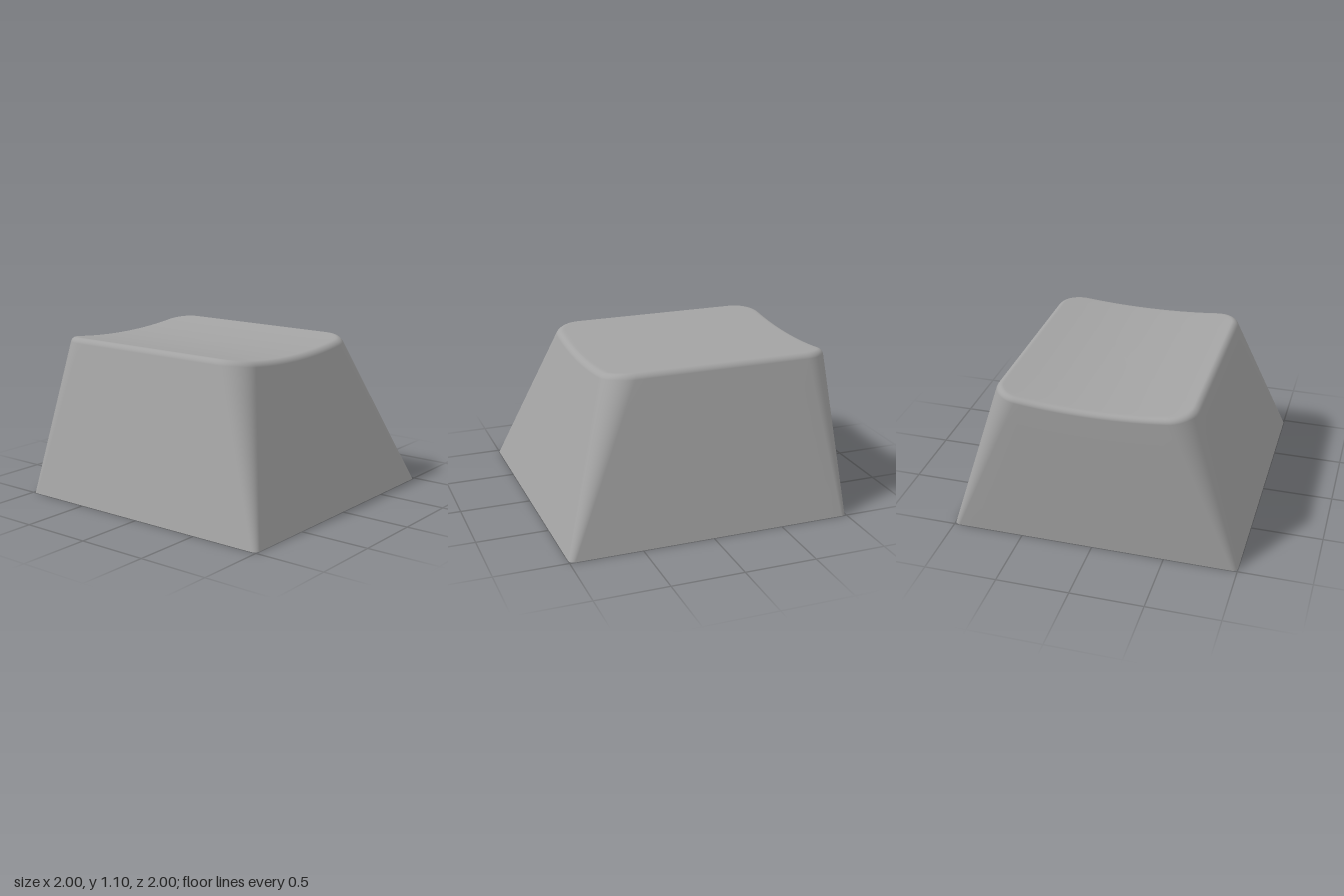
import * as THREE from 'three';
import { toCreasedNormals } from 'three/addons/utils/BufferGeometryUtils.js';

const HEIGHT = 1.1, FILLET = 0.036, CEILING = 0.9;
const SIDE_SLOPE = 0.3, FRONT_SLOPE = 0.358;
const STEM_BOTTOM = 0.11, STEM_RADIUS = 0.332, SLOT_DEPTH = 0.1;

// Height of the scooped top at a given x
const dish = (x) => 1.05 + 0.05 * (Math.min(Math.abs(x), 0.64) / 0.64) ** 2;

// Rounded rectangle [x, z] around the cap at height h, drawn in by inset
function outline(h, inset = 0) {
  const X = 1 - SIDE_SLOPE * h - inset;
  const front = 1 - FRONT_SLOPE * h - inset, back = -1 + inset;
  const r = Math.max(0.04 + 0.15 * h / HEIGHT - inset, 0.01);
  const centres = [[X - r, front - r], [r - X, front - r], [r - X, back + r], [X - r, back + r]];
  const arc = (q, i) => {
    const a = (q + i / 10) * Math.PI / 2;
    return [centres[q][0] + r * Math.cos(a), centres[q][1] + r * Math.sin(a)];
  };
  const points = [];
  for (let q = 0; q < 4; q++) {
    for (let i = 0; i <= 10; i++) points.push(arc(q, i));
    const a = arc(q, 10), b = arc((q + 1) % 4, 0);
    for (let i = 1; i < 14; i++) {
      const t = i / 14;
      points.push([a[0] + (b[0] - a[0]) * t, a[1] + (b[1] - a[1]) * t]);
    }
  }
  return points;
}

// Ring of 3D points whose height follows the scoop of the top
function ring(h, inset) {
  return outline(h, inset).map(([x], i) => {
    const y = h * dish(x) / HEIGHT;
    const [px, pz] = outline(y, inset)[i];
    return [px, y, pz];
  });
}

// Skin a list of closed rings
function loft(rings) {
  const n = rings[0].length, index = [];
  for (let j = 0; j < rings.length - 1; j++) {
    for (let i = 0; i < n; i++) {
      const a = j * n + i, b = j * n + (i + 1) % n;
      index.push(a, a + n, b, b, a + n, b + n);
    }
  }
  const geometry = new THREE.BufferGeometry();
  geometry.setAttribute('position', new THREE.Float32BufferAttribute(rings.flat(2), 3));
  geometry.setIndex(index);
  geometry.computeVertexNormals();
  return geometry;
}

// Tapered walls, rounded upper edge and scooped top
function shellGeometry() {
  const rings = [];
  for (let j = 0; j <= 6; j++) rings.push(ring((HEIGHT - FILLET) * j / 6, 0));
  for (let j = 1; j <= 6; j++) {
    const a = j / 6 * Math.PI / 2;
    rings.push(ring(HEIGHT - FILLET + FILLET * Math.sin(a), FILLET * (1 - Math.cos(a))));
  }
  const rim = rings[rings.length - 1], midZ = -0.19;
  for (const s of [0.98, 0.9, 0.75, 0.6, 0.45, 0.3, 0.15, 0.001]) {
    rings.push(rim.map(([x, , z]) => [x * s, dish(x * s), midZ + (z - midZ) * s]));
  }
  return loft(rings);
}

// Flat underside between the outer outline and the square opening
function rimGeometry(w) {
  const shape = new THREE.Shape(outline(0).map(([x, z]) => new THREE.Vector2(x, z)));
  shape.holes.push(new THREE.Path([[-w, -w], [-w, w], [w, w], [w, -w]].map((p) => new THREE.Vector2(...p))));
  return new THREE.ShapeGeometry(shape).rotateX(Math.PI / 2);
}

// Inward-facing box without its bottom, its walls parallel to the outer ones
function cavityGeometry(w) {
  const box = new THREE.BoxGeometry(2 * w, CEILING, 2 * w).translate(0, CEILING / 2, 0);
  const p = box.attributes.position;
  for (let i = 0; i < p.count; i++) {
    const y = p.getY(i);
    p.setX(i, p.getX(i) - Math.sign(p.getX(i)) * SIDE_SLOPE * y);
    if (p.getZ(i) > 0) p.setZ(i, p.getZ(i) - FRONT_SLOPE * y);
  }
  const index = Array.from(box.index.array);
  index.splice(18, 6);
  box.setIndex(index.reverse());
  box.clearGroups();
  const geometry = box.toNonIndexed();
  geometry.computeVertexNormals();
  return geometry;
}

// Round post with a cross-shaped socket
function stemGeometry() {
  const shape = new THREE.Shape().absarc(0, 0, STEM_RADIUS, 0, Math.PI * 2, false);
  const L = 0.26, w = 0.075;
  const cross = [[L, -w], [L, w], [w, w], [w, L], [-w, L], [-w, w],
    [-L, w], [-L, -w], [-w, -w], [-w, -L], [w, -L], [w, -w]];
  shape.holes.push(new THREE.Path(cross.map((p) => new THREE.Vector2(...p))));
  const geometry = new THREE.ExtrudeGeometry(shape, {
    depth: CEILING - STEM_BOTTOM, bevelEnabled: false, curveSegments: 48,
  });
  geometry.rotateX(-Math.PI / 2).translate(0, STEM_BOTTOM, 0);
  return toCreasedNormals(geometry, 0.6);
}

export function createModel() {
  const group = new THREE.Group();
  group.name = 'keycap';
  const material = new THREE.MeshStandardMaterial({ color: 0xa3a3a3 });
  const add = (name, geometry) => {
    const mesh = new THREE.Mesh(geometry, material);
    mesh.name = name;
    group.add(mesh);
    return mesh;
  };
  const opening = 0.83;
  add('outerShell', shellGeometry());
  add('bottomRim', rimGeometry(opening));
  add('innerCavity', cavityGeometry(opening));
  add('stem', stemGeometry());
  // Floor of the cross socket
  add('socketFloor', new THREE.CylinderGeometry(0.29, 0.29, 0.02, 32))
    .position.y = STEM_BOTTOM + SLOT_DEPTH + 0.01;
  return group;
}
